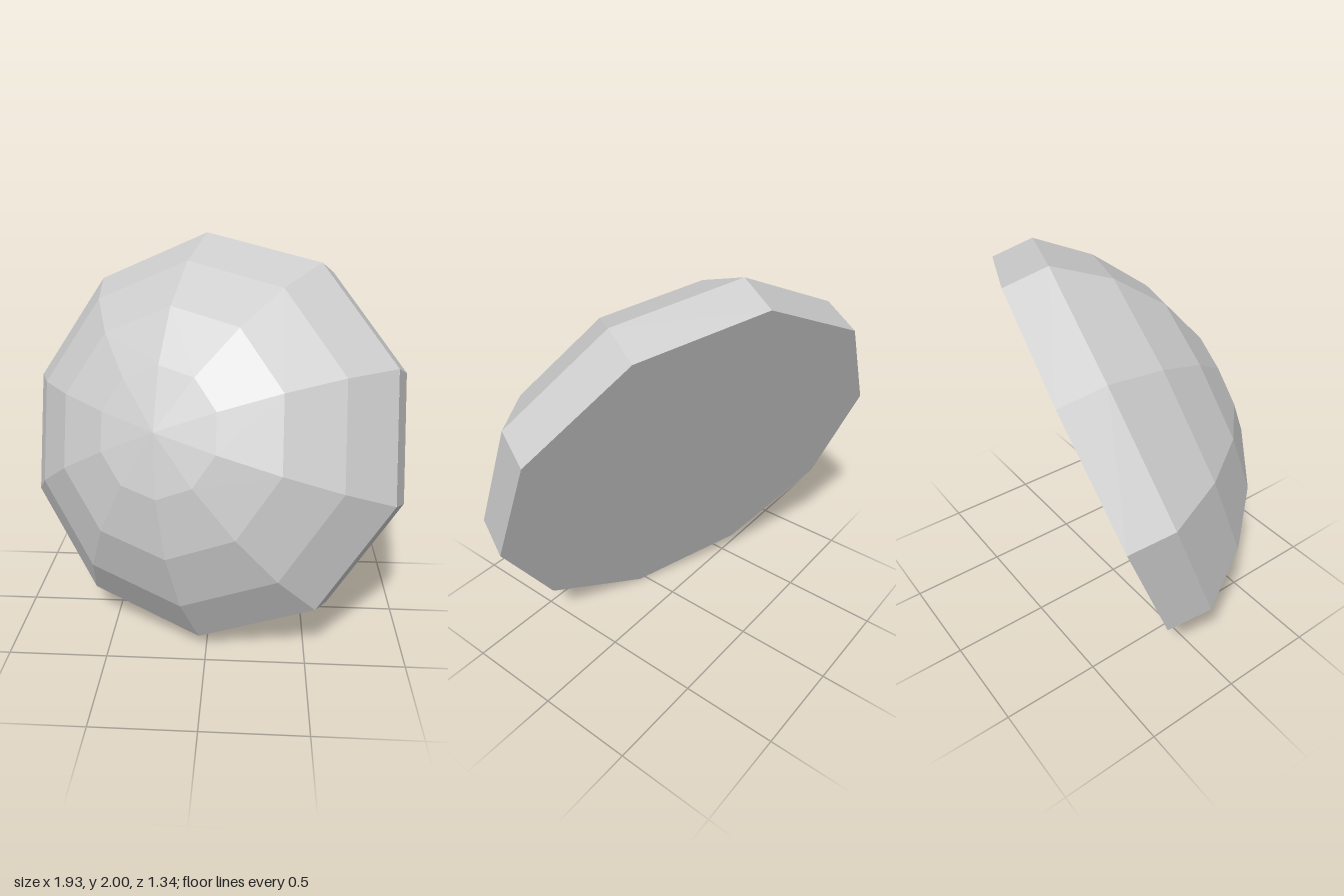
import * as THREE from 'three';

export function createModel() {
  const group = new THREE.Group();
  group.name = 'tiltedDome';
  const grey = new THREE.MeshStandardMaterial({ color: 0xcccccc, flatShading: true });
  grey.name = 'grey';

  const sides = 10, wall = 0.217, radius = 1.034;
  const sphere = 1.231, sweep = 0.997, steps = 4; // spherical cap

  // rings of the cap, from the rim up to the apex
  const cap = [];
  for (let i = 0; i <= steps; i++) {
    const a = sweep * (1 - i / steps);
    cap.push(new THREE.Vector2(sphere * Math.sin(a), wall + sphere * (Math.cos(a) - Math.cos(sweep))));
  }
  const add = (name, points) => {
    const geometry = new THREE.LatheGeometry(points, sides).toNonIndexed();
    geometry.computeVertexNormals();
    const mesh = new THREE.Mesh(geometry, grey);
    mesh.name = name;
    group.add(mesh);
  };
  const p = (x, y) => new THREE.Vector2(x, y);
  add('dome', cap);
  add('rimWall', [p(radius, 0), p(radius, wall)]);
  add('flatBase', [p(0, 0), p(radius, 0)]);

  // tilt the dome axis up, forward and to its right
  const axis = new THREE.Vector3(-0.336, 0.351, 0.874).normalize();
  const side = new THREE.Vector3().crossVectors(axis, new THREE.Vector3(0, 0.928, -0.372)).normalize();
  const up = new THREE.Vector3().crossVectors(side, axis);
  group.quaternion.setFromRotationMatrix(new THREE.Matrix4().makeBasis(side, axis, up));
  group.position.set(0.035, 0.964, -0.165);

  const model = new THREE.Group();
  model.add(group);
  return model;
}
